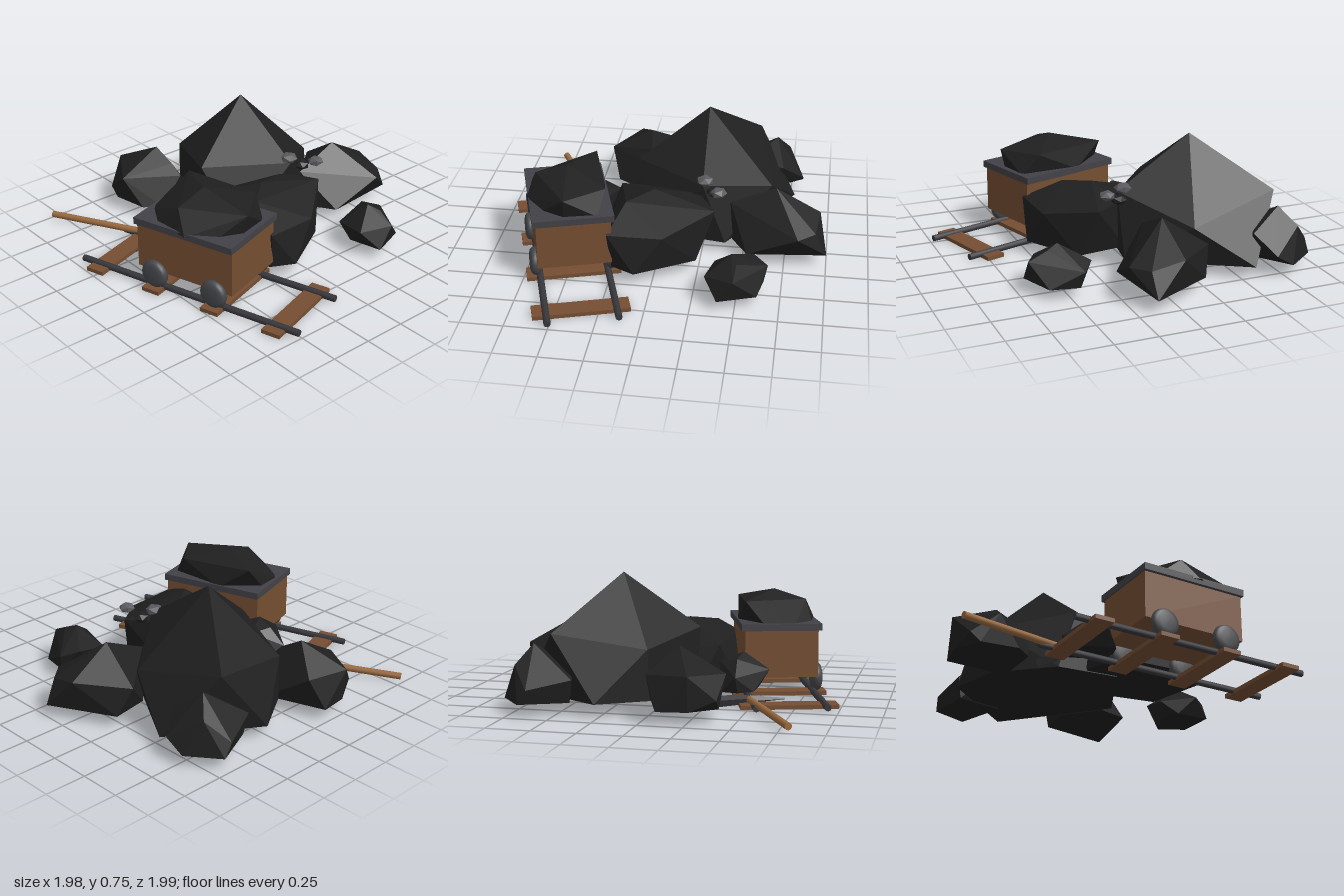
import * as THREE from 'three';
import { ConvexGeometry } from 'three/addons/geometries/ConvexGeometry.js';

const mat = (name, color, flatShading = false) => {
  const m = new THREE.MeshStandardMaterial({ color, flatShading });
  m.name = name;
  return m;
};

export function createModel() {
  const model = new THREE.Group();
  model.name = 'coalMine';
  const coal = mat('coal', 0x202020, true);
  const wood = mat('wood', 0x754e32);
  const handleWood = mat('handle wood', 0x98693f);
  const iron = mat('dark iron', 0x38383d);
  const headIron = mat('pick iron', 0x3d3d42, true);
  const rimIron = mat('rim iron', 0x424147);
  const wheelIron = mat('wheel iron', 0x47484c);
  const stone = mat('grey stone', 0x5a5a5f, true);

  const add = (parent, name, geometry, material, x = 0, y = 0, z = 0) => {
    const mesh = new THREE.Mesh(geometry, material);
    mesh.name = name;
    mesh.position.set(x, y, z);
    parent.add(mesh);
    return mesh;
  };

  // Faceted boulder with a flat base: a peak, upper corners [x, y, z] and base corners [x, z]
  const rock = (name, base, upper, foot) => add(model, name, new ConvexGeometry([
    ...upper.map(c => new THREE.Vector3(...c)),
    ...foot.map(([x, z]) => new THREE.Vector3(x, base, z))]), coal);

  // Coal boulders
  rock('mainBoulder', 0.075,
    [[-0.39, 0.75, -0.24], [-0.8, 0.44, -0.54], [-0.24, 0.31, -0.645], [0.07, 0.45, -0.25],
      [-0.26, 0.43, 0.18], [-0.73, 0.36, -0.01]],
    [[-0.89, -0.27], [-0.57, -0.78], [0.08, -0.39], [0, 0.1], [-0.36, 0.17], [-0.72, 0]]);
  rock('frontBoulder', 0.08,
    [[0.12, 0.435, 0.03], [0.22, 0.37, -0.34], [0.46, 0.3, -0.06], [0.48, 0.31, 0.26],
      [0.25, 0.41, 0.18], [-0.15, 0.31, 0.27], [-0.2, 0.28, 0.02], [0.03, 0.38, -0.22]],
    [[0.31, -0.24], [0.51, 0.1], [0.44, 0.24], [-0.05, 0.36], [-0.19, 0.15], [0, -0.2]]);
  rock('backBoulder', 0.075,
    [[-0.02, 0.42, -0.68], [-0.04, 0.265, -0.95], [0.15, 0.22, -0.93], [0.24, 0.22, -0.83],
      [-0.02, 0.3, -0.41], [-0.29, 0.24, -0.72]],
    [[0.14, -1], [0.19, -0.53], [-0.2, -0.57], [-0.24, -0.8], [0.03, -0.43]]);
  rock('leftBoulder', 0.065,
    [[0.52, 0.275, -0.465], [0.7, 0.195, -0.49], [0.61, 0.17, -0.32], [0.39, 0.14, -0.36],
      [0.36, 0.19, -0.58], [0.43, 0.16, -0.67], [0.59, 0.25, -0.5]],
    [[0.7, -0.4], [0.5, -0.35], [0.42, -0.45], [0.45, -0.65], [0.62, -0.62]]);
  rock('rightBoulder', 0.075,
    [[-0.73, 0.395, 0.17], [-0.92, 0.26, 0.03], [-0.54, 0.25, 0.13], [-0.6, 0.32, 0.15],
      [-0.74, 0.25, 0.43], [-0.9, 0.13, 0.41], [-0.99, 0.27, 0.27]],
    [[-0.99, 0.1], [-0.64, -0.02], [-0.55, 0.27], [-0.62, 0.37], [-0.84, 0.41], [-0.97, 0.27]]);
  rock('backRightBoulder', 0.07,
    [[-0.77, 0.38, -0.65], [-0.68, 0.14, -0.83], [-0.59, 0.25, -0.7], [-0.65, 0.25, -0.45],
      [-0.97, 0.15, -0.63], [-0.87, 0.2, -0.4], [-0.86, 0.27, -0.73]],
    [[-0.79, -0.82], [-0.97, -0.68], [-0.85, -0.42], [-0.6, -0.55]]);
  rock('smallBoulder', 0.07,
    [[-0.17, 0.28, 0.42], [-0.28, 0.25, 0.4], [-0.39, 0.16, 0.41], [-0.23, 0.23, 0.29],
      [-0.08, 0.24, 0.35], [-0.17, 0.18, 0.57]],
    [[-0.35, 0.32], [-0.1, 0.34], [-0.1, 0.5], [-0.31, 0.5], [-0.37, 0.42]]);
  rock('cartLoad', 0.42,
    [[0.21, 0.61, 0.53], [-0.08, 0.56, 0.41], [0.36, 0.55, 0.28], [0.54, 0.55, 0.49],
      [0.22, 0.55, 0.72]],
    [[0.08, 0.78], [0.32, 0.76], [0.45, 0.64], [0.51, 0.5], [0.46, 0.31], [0.1, 0.33],
      [-0.09, 0.53], [-0.06, 0.7]]);

  // Loose pebbles
  [[0.04, 0.47, -0.26, 0.054, stone], [0.175, 0.47, -0.355, 0.05, stone],
    [0.09, 0.425, -0.32, 0.05, coal]].forEach(([x, y, z, r, m], i) => {
    const pebble = add(model, 'pebble' + (i + 1), new THREE.IcosahedronGeometry(r), m, x, y, z);
    pebble.scale.y = 0.6;
    pebble.rotation.y = i;
  });

  // Track and cart share one slanted frame
  const railway = new THREE.Group();
  railway.name = 'railway';
  railway.position.set(0.219, 0, 0.532);
  railway.rotation.y = 0.302;
  model.add(railway);
  for (const x of [-0.6, -0.2, 0.2, 0.6])
    add(railway, 'sleeper', new THREE.BoxGeometry(0.115, 0.024, 0.555), wood, x, 0.012, 0);

  // Bulging wheel profile, from one hub to the other
  const wheelProfile = [[0, -0.034], [0.045, -0.033], [0.068, -0.027], [0.08, -0.016],
    [0.085, 0], [0.08, 0.016], [0.068, 0.027], [0.045, 0.033], [0, 0.034]]
    .map(p => new THREE.Vector2(...p));
  const wheelGeometry = new THREE.LatheGeometry(wheelProfile, 24).rotateX(Math.PI / 2);
  for (const side of [-1, 1]) {
    const rail = new THREE.CylinderGeometry(0.02, 0.02, 1.475, 8).rotateZ(Math.PI / 2);
    add(railway, 'rail', rail, iron, 0, 0.023, side * 0.2);
    for (const x of [-0.2, 0.2])
      add(railway, 'wheel', wheelGeometry, wheelIron, x, 0.103, side * 0.222);
  }
  add(railway, 'cartBody', new THREE.BoxGeometry(0.635, 0.28, 0.43), wood, 0, 0.26, 0);
  add(railway, 'cartRim', new THREE.BoxGeometry(0.655, 0.04, 0.47), rimIron, 0, 0.415, 0);

  // Pickaxe lying on the ground
  const pickaxe = new THREE.Group();
  pickaxe.name = 'pickaxe';
  model.add(pickaxe);
  const bar = (name, from, to, geometry, material) => {
    const a = new THREE.Vector3(...from), b = new THREE.Vector3(...to);
    const dir = b.clone().sub(a);
    const mesh = add(pickaxe, name, geometry(dir.length()), material);
    mesh.position.copy(a).add(b).multiplyScalar(0.5);
    mesh.quaternion.setFromUnitVectors(new THREE.Vector3(0, 1, 0), dir.normalize());
  };
  bar('handle', [-0.98, 0.033, 0.805], [-0.38, 0.04, 0.49],
    l => new THREE.CylinderGeometry(0.02, 0.02, l, 12), handleWood);
  const taper = (end, mid) => l =>
    new THREE.CylinderGeometry(end, mid, l, 4, 1).rotateY(Math.PI / 4);
  bar('pickBlade', [-0.37, 0.04, 0.49], [-0.485, 0.036, 0.275], taper(0.036, 0.025), headIron);
  bar('pickSpike', [-0.37, 0.04, 0.49], [-0.27, 0.033, 0.675], taper(0.005, 0.025), headIron);

  return model;
}
